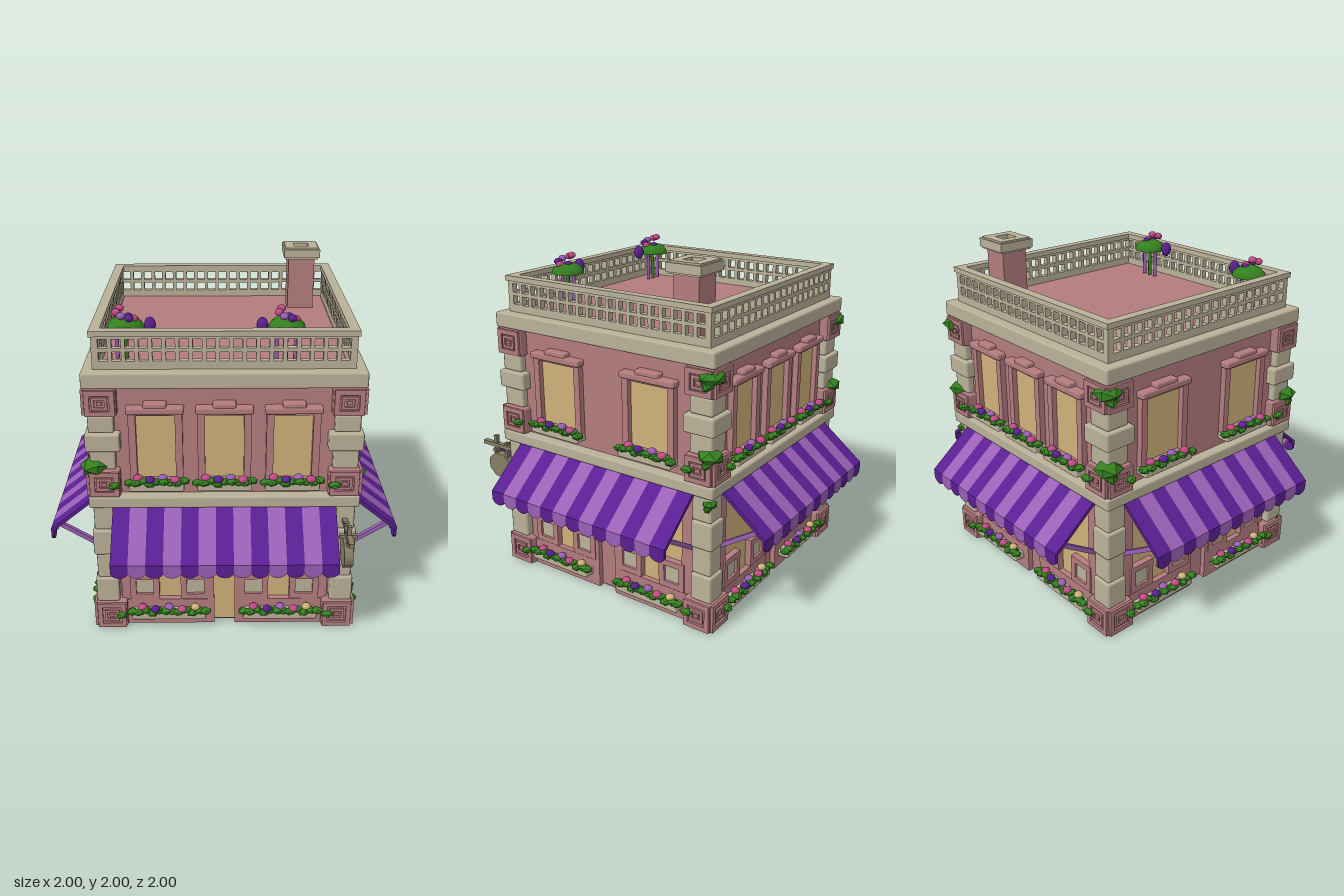
import * as THREE from 'three';
import { RoundedBoxGeometry } from 'three/addons/geometries/RoundedBoxGeometry.js';

const mat = (name, color) => {
  const m = new THREE.MeshStandardMaterial({ color });
  m.name = name;
  return m;
};
const pink = mat('rose plaster', 0xb47c7e);
const cream = mat('cream stone', 0xbab199);
const amber = mat('amber glass', 0xd0b07a);
const dark = mat('deep purple', 0x5a1f92);
const light = mat('light purple', 0x9a60b6);
const green = mat('leaf green', 0x34801f);
const magenta = mat('magenta petal', 0xc24a88);
const olive = mat('sign olive', 0x857c64);
const petals = [magenta, dark, light, magenta, amber];

function add(parent, name, geo, material, x = 0, y = 0, z = 0) {
  const m = new THREE.Mesh(geo, material);
  m.name = name;
  m.position.set(x, y, z);
  parent.add(m);
  return m;
}
// Box given by its limits
const box = (p, name, m, x0, x1, y0, y1, z0, z1) =>
  add(p, name, new THREE.BoxGeometry(x1 - x0, y1 - y0, z1 - z0), m, (x0 + x1) / 2, (y0 + y1) / 2, (z0 + z1) / 2);
const softBox = (p, name, m, x0, x1, y0, y1, z0, z1, r = 0.012) =>
  add(p, name, new RoundedBoxGeometry(x1 - x0, y1 - y0, z1 - z0, 1, r), m, (x0 + x1) / 2, (y0 + y1) / 2, (z0 + z1) / 2);

function rect(C, x0, x1, y0, y1) {
  const s = new C();
  s.moveTo(x0, y0); s.lineTo(x1, y0); s.lineTo(x1, y1); s.lineTo(x0, y1); s.closePath();
  return s;
}
// Rectangular frame facing +z, with its back at z = 0
function frameGeo(w, h, t, depth) {
  const s = rect(THREE.Shape, -w / 2, w / 2, -h / 2, h / 2);
  s.holes.push(rect(THREE.Path, -w / 2 + t, w / 2 - t, -h / 2 + t, h / 2 - t));
  return new THREE.ExtrudeGeometry(s, { depth, bevelEnabled: false });
}
function bar(p, name, m, x, a, b, t) {
  const [z0, y0] = a, [z1, y1] = b;
  const g = add(p, name, new THREE.BoxGeometry(t, t, Math.hypot(z1 - z0, y1 - y0)), m, x, (y0 + y1) / 2, (z0 + z1) / 2);
  g.rotation.x = -Math.atan2(y1 - y0, z1 - z0);
}
const leafGeo = new THREE.IcosahedronGeometry(1, 0);
const budGeo = new THREE.IcosahedronGeometry(1, 1);
function clump(p, name, geo, m, x, y, z, sx, sy, sz, turn = 0) {
  const c = add(p, name, geo, m, x, y, z);
  c.scale.set(sx, sy, sz);
  c.rotation.y = turn;
}

// Stone trough with a leafy row and round blossoms
function planter(p, x, y, z, w, count) {
  const g = new THREE.Group();
  g.name = 'flowerPlanter';
  g.position.set(x, y, z);
  p.add(g);
  softBox(g, 'trough', cream, -w / 2, w / 2, 0, 0.045, -0.01, 0.07, 0.008);
  const n = Math.round(w / 0.04);
  for (let i = 0; i <= n; i++)
    clump(g, 'leaf', leafGeo, green, (i / n - 0.5) * w, 0.045 + 0.006 * (i % 3), 0.05 + 0.012 * (i % 2), 0.033, 0.019, 0.035, i * 1.3);
  for (let i = 0; i < count; i++)
    clump(g, 'blossom', budGeo, petals[i % 5], ((i + 0.5) / count - 0.5) * w * 0.9, 0.07, 0.04 + 0.02 * (i % 2), 0.027, 0.021, 0.026);
}

function upperWindow(p, x, half) {
  const g = new THREE.Group();
  g.name = 'upperWindow';
  g.position.x = x;
  p.add(g);
  box(g, 'pane', amber, -half, half, 0.96, 1.37, 0.685, 0.694);
  add(g, 'windowFrame', frameGeo(2 * half + 0.08, 0.46, 0.04, 0.04), pink, 0, 1.17, 0.685);
  softBox(g, 'lintel', pink, -half - 0.05, half + 0.05, 1.37, 1.41, 0.68, 0.745);
  softBox(g, 'lintelCrest', pink, -half * 0.6, half * 0.6, 1.4, 1.435, 0.68, 0.74);
  planter(g, 0, 0.925, 0.7, 2 * half + 0.09, 4);
}

function shopFront(p, glassDoor) {
  for (const s of [-1, 1]) {
    const X = (a, b) => (s > 0 ? [a, b] : [-b, -a]);
    box(p, 'shopPane', amber, ...X(0.1, 0.54), 0.17, 0.74, 0.668, 0.677);
    box(p, 'doorJamb', pink, ...X(0.06, 0.1), 0, 0.8, 0.66, 0.71);
    box(p, 'shopJamb', pink, ...X(0.53, 0.6), 0, 0.8, 0.66, 0.705);
    box(p, 'shopPlinth', pink, ...X(0.1, 0.6), 0, 0.17, 0.66, 0.71);
    for (const x of [0.17, 0.465]) {
      add(p, 'panelFrame', frameGeo(0.17, 0.17, 0.035, 0.04), pink, s * x, 0.26, 0.675);
      box(p, 'panelStone', cream, s * x - 0.05, s * x + 0.05, 0.21, 0.31, 0.67, 0.7);
    }
    planter(p, s * 0.325, 0.07, 0.705, 0.43, 5);
  }
  box(p, 'door', glassDoor ? amber : pink, -0.06, 0.06, 0.01, 0.46, 0.67, 0.679);
  box(p, 'doorHeader', pink, -0.1, 0.1, 0.46, 0.52, 0.66, 0.715);
  box(p, 'shopHeader', pink, -0.6, 0.6, 0.73, 0.82, 0.66, 0.7);
}

// Striped awning: sloped strips, each ending in a rounded flap
function awning(p) {
  const n = 13, w = 1.24 / n;
  const slope = new THREE.Shape([[0.7, 0.81], [0.74, 0.81], [1, 0.6], [1, 0.585], [0.985, 0.585], [0.735, 0.79], [0.7, 0.79]].map(([z, y]) => new THREE.Vector2(z, y)));
  const slopeGeo = new THREE.ExtrudeGeometry(slope, { depth: w, bevelEnabled: false }).rotateY(-Math.PI / 2);
  const flap = new THREE.Shape();
  flap.moveTo(-w / 2, 0.59);
  flap.lineTo(-w / 2, 0.545);
  flap.quadraticCurveTo(-w / 3, 0.518, 0, 0.518);
  flap.quadraticCurveTo(w / 3, 0.518, w / 2, 0.545);
  flap.lineTo(w / 2, 0.59);
  const flapGeo = new THREE.ExtrudeGeometry(flap, { depth: 0.015, bevelEnabled: false, curveSegments: 4 });
  for (let i = 0; i < n; i++) {
    const m = i % 2 ? light : dark, x = -0.62 + i * w;
    add(p, 'awningStripe', slopeGeo, m, x + w, 0, 0);
    add(p, 'awningFlap', flapGeo, m, x + w / 2, 0, 0.985);
  }
  for (const x of [-0.6, 0.6]) bar(p, 'awningBrace', light, x, [0.7, 0.47], [0.95, 0.63], 0.025);
}

// Pierced parapet panel with two rows of square openings
function parapet(p) {
  const s = rect(THREE.Shape, -0.69, 0.69, 1.6, 1.82);
  const n = 19, pitch = 1.33 / n;
  for (let i = 0; i < n; i++) for (const y of [1.655, 1.725]) {
    const x = -0.665 + (i + 0.5) * pitch;
    s.holes.push(rect(THREE.Path, x - 0.024, x + 0.024, y, y + 0.05));
  }
  add(p, 'parapet', new THREE.ExtrudeGeometry(s, { depth: 0.035, bevelEnabled: false }), cream, 0, 0, 0.655);
  box(p, 'parapetRail', cream, -0.7, 0.7, 1.79, 1.82, 0.645, 0.7);
}

// Carved corner block with a square relief on both outer faces
function carvedBlock(p, y0, y1, a, b) {
  softBox(p, 'cornerBlock', pink, a, b - 0.012, y0, y1, a, b - 0.012);
  const h = y1 - y0, c = (a + b) / 2 - 0.006;
  for (const turn of [0, 1]) {
    const g = new THREE.Group();
    g.name = 'blockRelief';
    g.rotation.y = turn * Math.PI / 2;
    p.add(g);
    const x = turn ? -c : c;
    add(g, 'reliefBorder', frameGeo(b - a - 0.025, h - 0.015, 0.028, 0.02), pink, x, y0 + h / 2, b - 0.02);
    add(g, 'reliefRing', frameGeo(0.085, 0.075, 0.016, 0.02), pink, x, y0 + h / 2, b - 0.02);
    box(g, 'reliefBoss', pink, x - 0.015, x + 0.015, y0 + h / 2 - 0.01, y0 + h / 2 + 0.01, b - 0.02, b);
  }
}
function cornerPier(p) {
  carvedBlock(p, 0, 0.18, 0.57, 0.76);
  [0.18, 0.34, 0.5, 0.66, 0.82].slice(0, 4).forEach((y, i) => {
    const o = i % 2 ? 0.73 : 0.742;
    softBox(p, 'pierStone', cream, 0.61, o, y, y + 0.16, 0.61, o);
  });
  carvedBlock(p, 0.88, 1.04, 0.57, 0.755);
  softBox(p, 'pierStone', cream, 0.59, 0.73, 1.04, 1.155, 0.59, 0.73);
  softBox(p, 'pierStone', cream, 0.56, 0.75, 1.155, 1.26, 0.56, 0.75);
  softBox(p, 'pierStone', cream, 0.59, 0.73, 1.26, 1.36, 0.59, 0.73);
  carvedBlock(p, 1.36, 1.52, 0.57, 0.755);
}

function roofPlant(root, x, z, side) {
  const g = new THREE.Group();
  g.name = 'roofPlant';
  g.position.set(x, 1.62, z);
  root.add(g);
  for (const d of [-0.05, 0, 0.05]) add(g, 'stem', new THREE.CylinderGeometry(0.01, 0.012, 0.2, 6), d ? light : green, d, 0.1, 0);
  add(g, 'foliage', new THREE.SphereGeometry(0.1, 10, 4, 0, Math.PI * 2, 0, Math.PI / 2), green, 0, 0.17, 0).scale.y = 0.65;
  add(g, 'foliageBase', new THREE.CircleGeometry(0.1, 10).rotateX(Math.PI / 2), green, 0, 0.17, 0);
  for (let i = 0; i < 6; i++)
    clump(g, 'blossom', budGeo, petals[i % 4], 0.045 * Math.cos(i), 0.225 + 0.012 * (i % 5), 0.04 * Math.sin(i) + 0.02, 0.024, 0.02, 0.024);
  clump(g, 'sideBlossom', budGeo, dark, side, 0.19, 0.02, 0.032, 0.045, 0.032);
}

export function createModel() {
  const root = new THREE.Group();
  root.name = 'cornerShop';

  // Core and cornices
  box(root, 'groundFloor', pink, -0.67, 0.67, 0, 0.85, -0.67, 0.67);
  box(root, 'upperFloor', pink, -0.69, 0.69, 0.85, 1.55, -0.69, 0.69);
  softBox(root, 'lowerCornice', cream, -0.75, 0.75, 0.81, 0.88, -0.75, 0.75);
  softBox(root, 'upperCornice', cream, -0.75, 0.75, 1.52, 1.61, -0.75, 0.75);
  box(root, 'roofFloor', pink, -0.65, 0.65, 1.605, 1.615, -0.65, 0.65);

  // Four sides and four corners
  for (let i = 0; i < 4; i++) {
    const side = new THREE.Group();
    side.name = ['frontSide', 'leftSide', 'backSide', 'rightSide'][i];
    side.rotation.y = i * Math.PI / 2;
    root.add(side);
    if (i % 2) for (const x of [-0.32, 0.32]) upperWindow(side, x, 0.13);
    else for (const x of [-0.37, 0, 0.37]) upperWindow(side, x, 0.105);
    shopFront(side, i === 0);
    awning(side);
    parapet(side);
    cornerPier(side);
    // Small plants at the feet of the corner blocks
    for (const y of [0.1, 0.96]) {
      clump(side, 'cornerLeaf', leafGeo, green, 0.6, y, 0.765, 0.04, 0.02, 0.03);
      clump(side, 'cornerLeaf', leafGeo, green, -0.6, y, 0.765, 0.04, 0.02, 0.03, 1);
    }
  }

  // Ivy on the corners: x sign, z sign, height, size
  const ivy = [[1, -1, 1.47, 0.08], [1, -1, 1.04, 0.075], [1, -1, 0.77, 0.045], [-1, -1, 1.47, 0.08], [-1, -1, 1.04, 0.08],
    [-1, 1, 1.06, 0.08], [-1, 1, 0.2, 0.035], [1, 1, 0.98, 0.04]];
  for (const [sx, sz, y, r] of ivy) {
    clump(root, 'ivy', leafGeo, green, sx * 0.71, y, sz * 0.71, r, r * 0.6, r, 0.4);
    clump(root, 'ivy', leafGeo, green, sx * 0.73, y - r * 0.5, sz * 0.71, r * 0.5, r * 0.5, r * 0.6, 1.2);
  }

  // Chimney with a hollow cap
  box(root, 'chimney', pink, 0.41, 0.57, 1.6, 1.94, -0.54, -0.38);
  add(root, 'chimneyCap', frameGeo(0.2, 0.2, 0.055, 0.07).rotateX(-Math.PI / 2), cream, 0.49, 1.93, -0.46);
  add(root, 'chimneyLip', frameGeo(0.22, 0.22, 0.03, 0.05).rotateX(-Math.PI / 2), cream, 0.49, 1.94, -0.46);
  box(root, 'chimneyMouth', cream, 0.44, 0.54, 1.94, 1.96, -0.51, -0.41);

  roofPlant(root, -0.52, 0.54, 0.13);
  roofPlant(root, 0.33, 0.55, -0.13);

  // Hanging shop sign
  const sign = new THREE.Group();
  sign.name = 'hangingSign';
  sign.position.x = 0.675;
  root.add(sign);
  box(sign, 'signArm', olive, -0.015, 0.015, 0.705, 0.73, 0.73, 1);
  box(sign, 'signCrossbar', olive, -0.05, 0.05, 0.69, 0.71, 0.86, 0.88);
  box(sign, 'signPost', olive, -0.012, 0.012, 0.65, 0.78, 0.885, 0.91);
  box(sign, 'signHanger', olive, -0.012, 0.012, 0.65, 0.75, 0.8, 0.82);
  const board = new THREE.CylinderGeometry(0.095, 0.095, 0.05, 8).rotateY(Math.PI / 8).rotateZ(Math.PI / 2).scale(1, 0.88, 1);
  add(sign, 'signBoard', board, olive, 0, 0.59, 0.86);

  return root;
}
